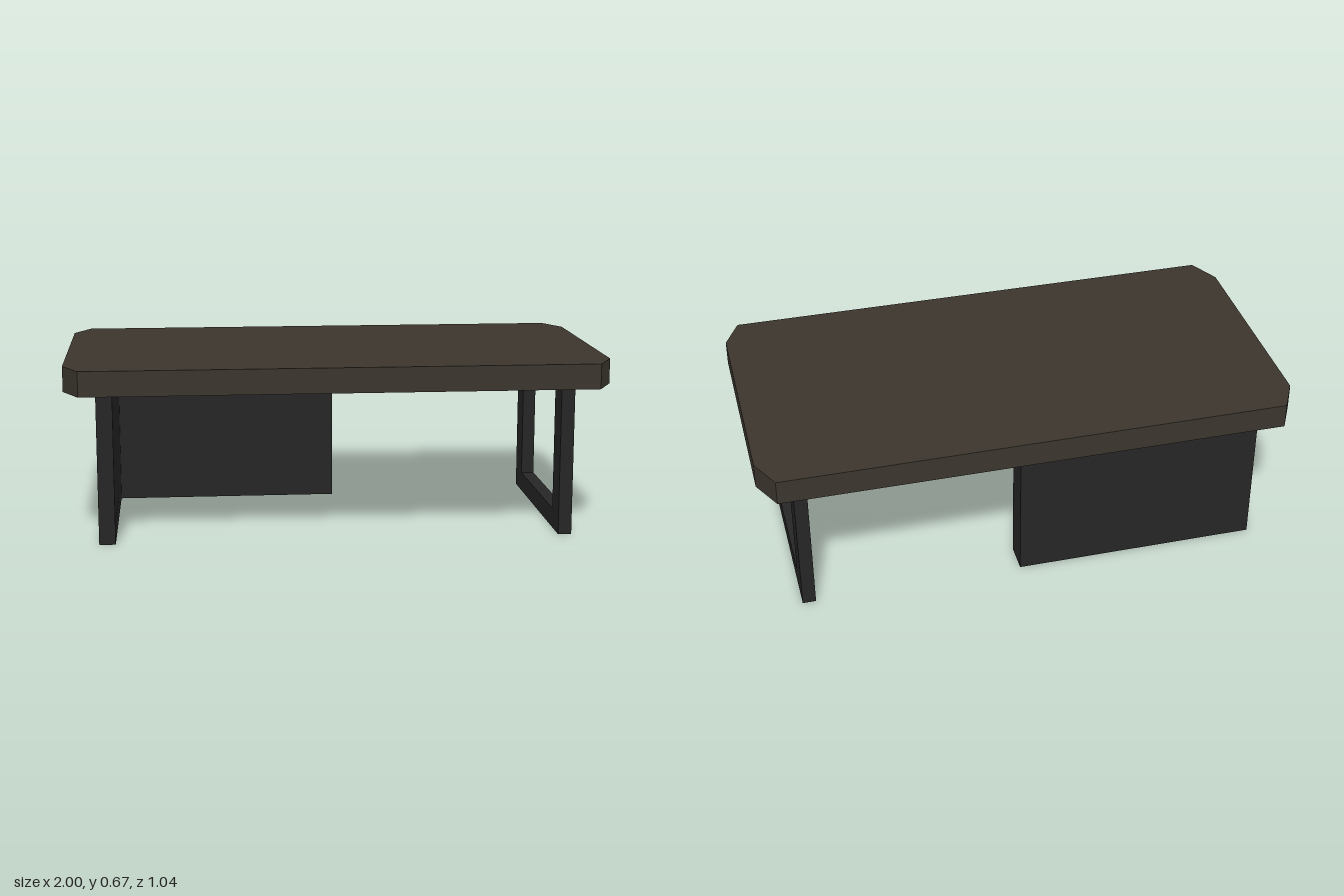
import * as THREE from 'three';

const wood = new THREE.MeshStandardMaterial({ color: 0x3b352d, flatShading: true });
const metal = new THREE.MeshStandardMaterial({ color: 0x262626, flatShading: true });

const LEG_H = 0.575, HALF_D = 0.407, BAR = 0.11, RAIL = 0.073;

// Polygon outline extruded by the given depth
function slab(points, depth) {
  const shape = new THREE.Shape(points.map(([a, b]) => new THREE.Vector2(a, b)));
  return new THREE.ExtrudeGeometry(shape, { depth, bevelEnabled: false });
}

function add(group, name, geometry, material) {
  const mesh = new THREE.Mesh(geometry, material);
  mesh.name = name;
  group.add(mesh);
  return mesh;
}

// Side profile in the z-y plane, spanning x0 to x1
function sideSlab(points, x0, x1) {
  return slab(points, x1 - x0).rotateY(Math.PI / 2).translate(x0, 0, 0);
}

// U-shaped frame, open towards the tabletop
function uFrame(x0, x1) {
  const o = HALF_D, i = HALF_D - BAR;
  return sideSlab([[-o, 0], [o, 0], [o, LEG_H], [i, LEG_H], [i, RAIL],
    [-i, RAIL], [-i, LEG_H], [-o, LEG_H]], x0, x1);
}

export function createModel() {
  const model = new THREE.Group();
  model.name = 'desk';

  // Tabletop with clipped corners
  const outline = [[-0.94, -0.522], [0.94, -0.522], [1, -0.405], [1, 0.405],
    [0.94, 0.522], [-0.94, 0.522], [-1, 0.405], [-1, -0.405]];
  add(model, 'tabletop', slab(outline, 0.093).rotateX(-Math.PI / 2).translate(0, 0.572, 0), wood);

  // Open leg frame on one side, filled frame on the other
  add(model, 'openLegFrame', uFrame(0.823, 0.873), metal);
  add(model, 'closedLegFrame', uFrame(-0.885, -0.825), metal);

  // Infill of the closed frame, leaving a hairline gap above the front half of the rail
  const i = HALF_D - BAR;
  add(model, 'sidePanel', sideSlab([[-i, RAIL + 0.004], [0, RAIL + 0.004], [0, RAIL],
    [i, RAIL], [i, LEG_H], [-i, LEG_H]], -0.885, -0.825), metal);

  // Thick panel along the back
  const back = add(model, 'backPanel', new THREE.BoxGeometry(0.86, LEG_H, BAR), metal);
  back.position.set(-0.395, LEG_H / 2, -HALF_D + BAR / 2);

  return model;
}
